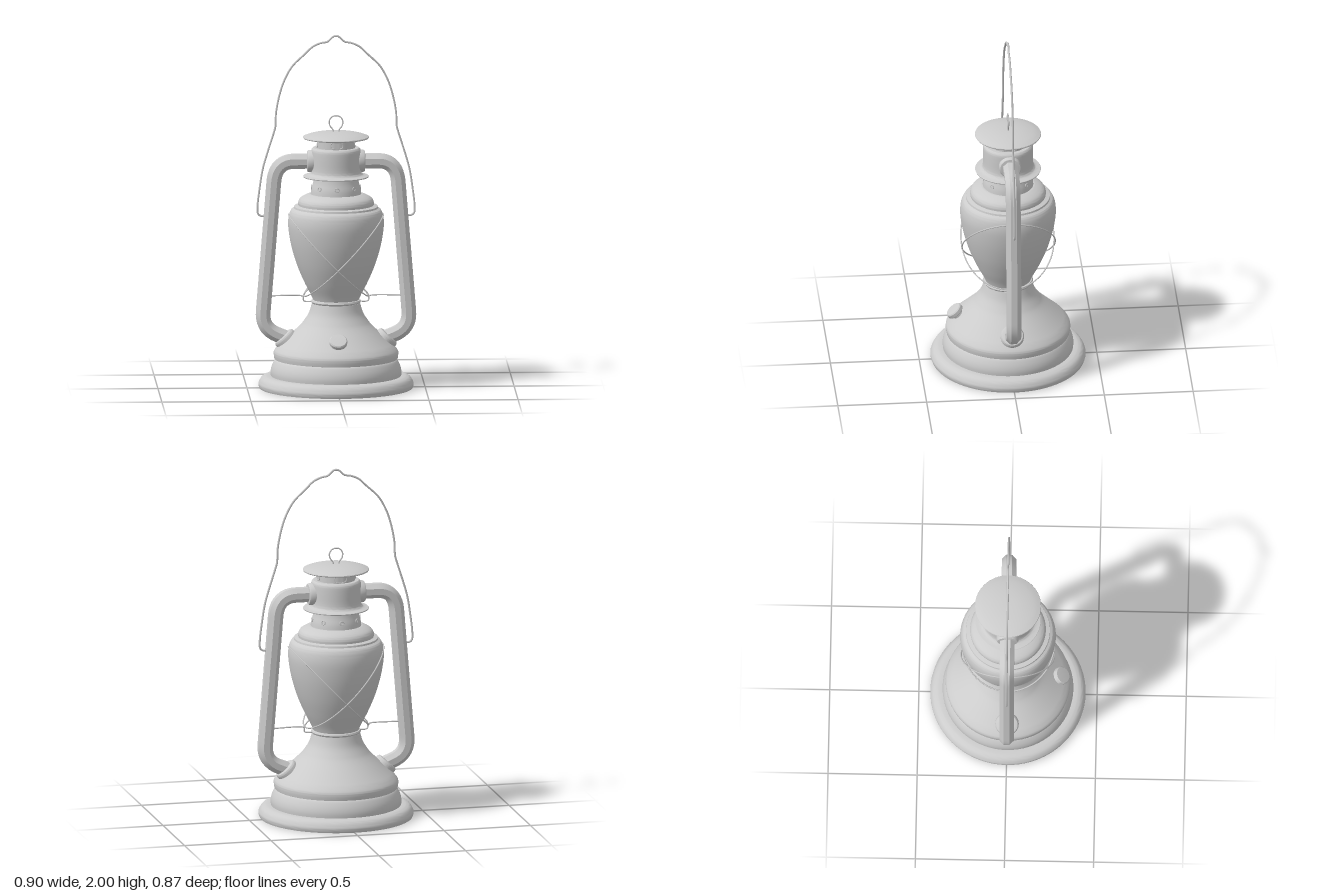
import * as THREE from 'three';
import { toCreasedNormals } from 'three/addons/utils/BufferGeometryUtils.js';

const grey = new THREE.MeshStandardMaterial({ color: 0xcccccc, side: THREE.DoubleSide });
const V = (x, y, z = 0) => new THREE.Vector3(x, y, z);
const UP = V(0, 1, 0);

export function createModel() {
  const lantern = new THREE.Group();
  lantern.name = 'lantern';

  const add = (name, geometry, parent = lantern) => {
    const mesh = new THREE.Mesh(geometry, grey);
    mesh.name = name;
    parent.add(mesh);
    return mesh;
  };
  // Turned part from [radius, height] pairs, listed from bottom to top
  const turned = (name, profile, parent = lantern, segments = 72) => {
    const points = profile.map(([r, y]) => new THREE.Vector2(r, y));
    return add(name, toCreasedNormals(new THREE.LatheGeometry(points, segments), 0.6), parent);
  };
  // Smooth profile through a few [radius, height] pairs
  const smooth = (pairs, count = 24) =>
    new THREE.SplineCurve(pairs.map(([r, y]) => new THREE.Vector2(r, y)))
      .getPoints(count).map((p) => [p.x, p.y]);
  const wire = (name, points, radius, parent = lantern, segments = 80, closed = false) =>
    add(name, new THREE.TubeGeometry(
      new THREE.CatmullRomCurve3(points, closed, 'centripetal'), segments, radius, 6, closed), parent);

  // Foot, fuel tank and sloping shoulder
  turned('foot', [[0, 0], ...smooth([[0.43, 0], [0.436, 0.02], [0.43, 0.04], [0.415, 0.06], [0.39, 0.07]], 12),
    [0.365, 0.07]]);
  turned('tankBase', smooth([[0.366, 0.068], [0.367, 0.095], [0.36, 0.125], [0.345, 0.155], [0.335, 0.165]], 12));
  turned('tank', [[0.33, 0.163], [0.346, 0.166],
    ...smooth([[0.347, 0.17], [0.35, 0.195], [0.346, 0.212], [0.325, 0.238]], 10),
    ...smooth([[0.325, 0.238], [0.26, 0.298], [0.205, 0.35], [0.18, 0.38], [0.152, 0.425], [0.135, 0.48]], 20)]);

  // Burner collar and glass globe
  turned('burnerCollar', [[0.12, 0.478], [0.136, 0.482], [0.14, 0.489], [0.136, 0.498], [0.12, 0.502]]);
  turned('globe', smooth([[0.125, 0.49], [0.142, 0.53], [0.178, 0.6], [0.22, 0.7], [0.252, 0.81],
    [0.268, 0.91], [0.266, 0.97], [0.254, 1.005], [0.235, 1.02]], 40));

  // Globe holder and perforated neck
  turned('globeHolder', [[0.25, 1.012], [0.237, 1.02], [0.235, 1.03],
    ...smooth([[0.212, 1.036], [0.212, 1.055], [0.2, 1.075], [0.175, 1.09], [0.148, 1.1]], 14),
    ...smooth([[0.142, 1.1], [0.138, 1.13], [0.128, 1.165], [0.122, 1.2]], 8)]);
  const ventHoles = new THREE.Group();
  ventHoles.name = 'ventHoles';
  lantern.add(ventHoles);
  for (let i = 0; i < 8; i++) {
    const a = i * Math.PI / 4;
    const rim = add('ventHole', new THREE.TorusGeometry(0.011, 0.003, 6, 16), ventHoles);
    rim.position.set(Math.sin(a) * 0.137, 1.138, Math.cos(a) * 0.137);
    rim.rotation.y = a;
  }

  // Chimney with flared skirt, slotted throat and domed cap
  turned('chimney', [[0.12, 1.205], [0.183, 1.195], [0.185, 1.2],
    ...smooth([[0.183, 1.202], [0.155, 1.208], [0.143, 1.222], [0.14, 1.25]], 12),
    ...smooth([[0.14, 1.25], [0.14, 1.33], [0.137, 1.352], [0.128, 1.362]], 10), [0.108, 1.362]]);
  turned('throat', [[0.108, 1.355], [0.108, 1.425]]);
  for (let i = 0; i < 4; i++) {
    const slot = new THREE.Group();
    slot.name = 'throatSlot';
    slot.rotation.y = i * Math.PI / 2;
    lantern.add(slot);
    const loop = [[-0.033, -0.01], [-0.025, -0.016], [0.025, -0.016], [0.033, -0.01],
      [0.033, 0.01], [0.025, 0.016], [-0.025, 0.016], [-0.033, 0.01]];
    wire('slotRim', loop.map(([x, y]) => V(x, 1.385 + y, Math.sqrt(0.109 ** 2 - x * x))), 0.003, slot, 32, true);
  }
  turned('cap', [[0, 1.42], [0.11, 1.422], [0.183, 1.415], [0.186, 1.42],
    ...smooth([[0.184, 1.424], [0.15, 1.436], [0.1, 1.446], [0.05, 1.451], [0, 1.452]], 14)]);
  wire('capLoop', [V(-0.014, 1.445), V(-0.018, 1.463), V(-0.034, 1.485), V(-0.038, 1.512), V(-0.024, 1.535),
    V(0, 1.542), V(0.024, 1.535), V(0.038, 1.512), V(0.034, 1.485), V(0.018, 1.463), V(0.014, 1.445)], 0.004, lantern, 40);

  // Filler cap on the front of the tank
  const filler = new THREE.Group();
  filler.name = 'fillerCap';
  filler.position.set(0, 0.298, 0.297);
  filler.quaternion.setFromUnitVectors(UP, V(0, 0.77, 0.64));
  lantern.add(filler);
  turned('fillerNeck', [[0.03, -0.045], [0.03, 0]], filler, 32);
  turned('fillerLid', [[0, -0.008], [0.046, -0.008], [0.05, -0.004], [0.05, 0.014], [0.045, 0.02], [0, 0.023]], filler, 40);

  // Side air tubes with flanges, mirrored left and right
  for (const s of [1, -1]) {
    const side = new THREE.Group();
    side.name = s > 0 ? 'leftSide' : 'rightSide';
    lantern.add(side);

    const path = new THREE.CurvePath();
    const p = (x, y) => V(s * x, y);
    path.add(new THREE.LineCurve3(p(0.12, 1.285), p(0.235, 1.285)));
    path.add(new THREE.CubicBezierCurve3(p(0.235, 1.285), p(0.3, 1.285), p(0.342, 1.25), p(0.349, 1.17)));
    path.add(new THREE.LineCurve3(p(0.349, 1.17), p(0.409, 0.43)));
    path.add(new THREE.CubicBezierCurve3(p(0.409, 0.43), p(0.414, 0.35), p(0.37, 0.318), p(0.325, 0.3)));
    path.add(new THREE.LineCurve3(p(0.325, 0.3), p(0.25, 0.27)));
    // Octagonal cross-section swept along the path, flats facing front and back
    const steps = 72, sides = 8, pos = [], idx = [];
    for (let i = 0; i <= steps; i++) {
      const c = path.getPointAt(i / steps), t = path.getTangentAt(i / steps);
      const n = V(-t.y, t.x);
      for (let j = 0; j < sides; j++) {
        const a = (j + 0.5) * 2 * Math.PI / sides;
        const q = c.clone().addScaledVector(n, Math.cos(a) * 0.044);
        pos.push(q.x, q.y, Math.sin(a) * 0.044);
        if (i < steps) {
          const k = i * sides, b = (j + 1) % sides;
          idx.push(k + j, k + b, k + sides + j, k + b, k + sides + b, k + sides + j);
        }
      }
    }
    const tube = new THREE.BufferGeometry();
    tube.setAttribute('position', new THREE.Float32BufferAttribute(pos, 3));
    tube.setIndex(idx);
    add('airTube', toCreasedNormals(tube, 0.5), side);

    const flange = (name, at, axis, profile) => {
      const ring = turned(name, profile, side, 32);
      ring.position.copy(at);
      ring.quaternion.setFromUnitVectors(UP, axis.normalize());
    };
    flange('upperFlange', p(0.13, 1.285), V(s, 0),
      [[0.062, -0.02], [0.062, 0.024], [0.057, 0.032], [0.04, 0.034]]);
    flange('lowerFlange', p(0.288, 0.283), V(s * 0.67, 0.74),
      [[0.066, -0.025], [0.066, 0.004], [0.06, 0.013], [0.046, 0.017], [0.035, 0.017]]);

    // Tilted wire hoop around the globe
    const hoop = [];
    for (let i = 0; i < 32; i++) {
      const a = i * Math.PI / 16, c = Math.cos(a);
      hoop.push(V(s * (0.043 + 0.223 * c), 0.752 + 0.23 * c - 0.012 * Math.sin(a) ** 2, 0.262 * Math.sin(a)));
    }
    wire('guardHoop', hoop, 0.004, side, 96, true);
    // Support wire from the burner to the air tube
    wire('guardSupport', [p(0.11, 0.49), p(0.175, 0.49), p(0.184, 0.498), p(0.184, 0.516),
      p(0.195, 0.522), p(0.4, 0.522)], 0.004, side, 40);
    wire('guardFoot', [p(0.184, 0.51), p(0.18, 0.53), p(0.15, 0.565)], 0.004, side, 12);
  }

  // Carrying bail hooked into both air tubes
  const half = [[0.385, 0.977], [0.425, 0.977], [0.439, 0.99], [0.441, 1.03], [0.431, 1.12], [0.412, 1.24],
    [0.39, 1.32], [0.349, 1.45], [0.341, 1.48], [0.337, 1.56], [0.318, 1.66], [0.29, 1.745], [0.245, 1.825],
    [0.175, 1.893], [0.13, 1.935], [0.085, 1.955], [0.048, 1.962], [0.03, 1.978], [0.014, 1.992]];
  wire('bail', [...half.map(([x, y]) => V(-x, y)), V(0, 1.994),
    ...half.reverse().map(([x, y]) => V(x, y))], 0.006, lantern, 200);

  return lantern;
}
